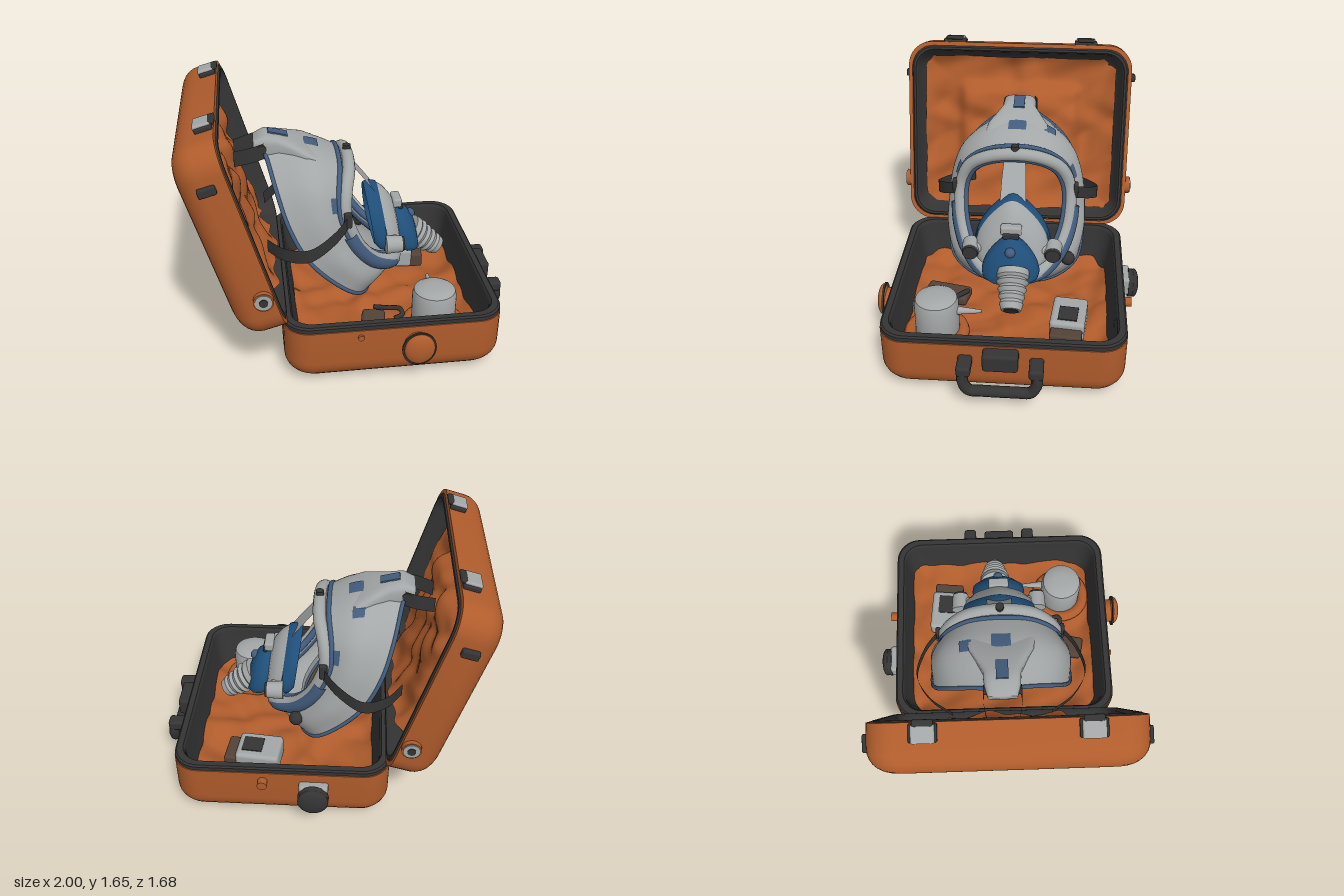
import * as THREE from 'three';
import { toCreasedNormals } from 'three/addons/utils/BufferGeometryUtils.js';
import { RoundedBoxGeometry } from 'three/addons/geometries/RoundedBoxGeometry.js';

const mat = (name, color) => {
  const m = new THREE.MeshStandardMaterial({ color, side: THREE.DoubleSide });
  m.name = name;
  return m;
};
const V = (x, y, z) => new THREE.Vector3(x, y, z);

export function createModel() {
  const orange = mat('orange', 0xb05c2c), dark = mat('charcoal', 0x343434), grey = mat('grey', 0xa4a7a7);
  const blue = mat('blue', 0x1f4f7a), slate = mat('slateBlue', 0x435d7e), brown = mat('brown', 0x544238);
  const model = new THREE.Group();
  model.name = 'maskInCase';

  const add = (parent, name, geo, material, x = 0, y = 0, z = 0) => {
    const m = new THREE.Mesh(geo, material);
    m.name = name;
    m.position.set(x, y, z);
    parent.add(m);
    return m;
  };
  const group = (parent, name) => {
    const g = new THREE.Group();
    g.name = name;
    parent.add(g);
    return g;
  };
  // Skin over equal-length rows of points
  const loft = (rows, closed = true, crease = 0.7) => {
    const n = rows[0].length, pos = [], idx = [];
    rows.forEach(r => r.forEach(p => pos.push(p.x, p.y, p.z)));
    for (let i = 0; i < rows.length - 1; i++)
      for (let j = 0; j < (closed ? n : n - 1); j++) {
        const a = i * n + j, b = i * n + (j + 1) % n;
        idx.push(a, a + n, b, b, a + n, b + n);
      }
    const g = new THREE.BufferGeometry();
    g.setAttribute('position', new THREE.Float32BufferAttribute(pos, 3));
    g.setIndex(idx);
    g.computeVertexNormals();
    return toCreasedNormals(g, crease);
  };
  // Rounded rectangle ring at height y
  const ring = (hx, hz, r, y) => {
    const pts = [];
    for (let c = 0; c < 4; c++)
      for (let j = 0; j <= 8; j++) {
        const a = (c + j / 8) * Math.PI / 2;
        const sx = c === 0 || c === 3 ? 1 : -1, sz = c < 2 ? 1 : -1;
        pts.push(V(sx * (hx - r) + r * Math.cos(a), y, sz * (hz - r) + r * Math.sin(a)));
      }
    return pts;
  };
  const cyl = (r1, r2, h, axis, seg = 28) => {
    const g = new THREE.CylinderGeometry(r1, r2, h, seg);
    if (axis === 'z') g.rotateX(Math.PI / 2);
    if (axis === 'x') g.rotateZ(-Math.PI / 2);
    return g;
  };

  // One half of the case: outer shell, rim, lining and crumpled cloth
  const caseHalf = (parent, hx, hz, y0, y1, edge, rimH, rimIn, floor, bump) => {
    const rad = 0.16;
    const rows = [ring(0, 0, 0, y0)];
    for (let i = 0; i <= 7; i++) {
      const a = i / 7 * Math.PI / 2, d = edge * (1 - Math.sin(a));
      rows.push(ring(hx - d, hz - d, rad - d * 0.5, y0 + edge * (1 - Math.cos(a))));
    }
    const at = (inset, y) => ring(hx - inset, hz - inset, rad - inset * 0.6, y);
    const top = y1 + rimH;
    rows.push(at(0, y1), at(rimIn, y1 + 0.002));
    add(parent, 'shell', loft(rows), orange);
    add(parent, 'rim', loft([at(rimIn, y1 - 0.005), at(rimIn, top - 0.01), at(rimIn + 0.01, top),
      at(0.05, top), at(0.06, top - 0.02)]), dark);
    add(parent, 'lining', loft([at(0.06, top - 0.02), at(0.07, y1 - 0.05), at(0.085, (floor + y1) / 2),
      at(0.11, floor + 0.02), at(0.18, floor - 0.02)]), dark);
    const w = hx - 0.1, d = hz - 0.1;
    const cloth = new THREE.PlaneGeometry(2 * w, 2 * d, 56, 60).rotateX(-Math.PI / 2);
    const p = cloth.attributes.position;
    for (let i = 0; i < p.count; i++) {
      const x = p.getX(i), z = p.getZ(i);
      const e = Math.max(Math.abs(x) / w, Math.abs(z) / d);
      const fold = 0.012 * Math.sin(9 * x + 5 * Math.sin(6 * z)) + 0.010 * Math.sin(13 * z + 4 * Math.sin(8 * x + 1))
        + 0.02 * Math.abs(Math.sin(5 * x - 7 * z + 2 * Math.sin(4 * x)));
      p.setY(i, floor + fold + 0.05 * Math.pow(e, 8) + bump(x, z));
    }
    cloth.computeVertexNormals();
    add(parent, 'cloth', cloth, orange);
  };

  // Base of the case
  const base = group(model, 'base');
  base.position.x = 0.205;
  caseHalf(base, 0.663, 0.735, 0.015, 0.385, 0.15, 0.037, 0.004, 0.12, () => 0);
  for (const x of [-0.455, 0.445])
    for (const z of [-0.51, 0.51]) add(base, 'foot', cyl(0.055, 0.05, 0.025, 'y'), dark, x, 0.0125, z);
  add(base, 'frontScrew', cyl(0.018, 0.018, 0.03, 'z'), orange, -0.215, 0.34, 0.735);
  add(base, 'backScrew', cyl(0.03, 0.03, 0.05, 'z'), orange, 0.105, 0.32, -0.755);

  // Pressure knob at the back, clasp at the front
  add(base, 'knobNeck', new RoundedBoxGeometry(0.18, 0.13, 0.07, 3, 0.02), grey, -0.205, 0.26, -0.75);
  add(base, 'knobDisc', cyl(0.096, 0.09, 0.045, 'z'), dark, -0.205, 0.24, -0.8);
  add(base, 'knob', new THREE.SphereGeometry(0.094, 28, 16).scale(1, 1, 0.35), dark, -0.205, 0.24, -0.815);
  add(base, 'claspNeck', cyl(0.08, 0.08, 0.07, 'z'), orange, 0.125, 0.265, 0.755);
  add(base, 'claspPlate', cyl(0.103, 0.103, 0.012, 'z').scale(1, 1.12, 1), dark, 0.125, 0.265, 0.79);
  add(base, 'clasp', new THREE.SphereGeometry(0.092, 28, 16).scale(1, 1.12, 0.38), orange, 0.125, 0.27, 0.802);

  // Carrying handle and latch
  const handle = group(model, 'handle');
  add(handle, 'latch', new RoundedBoxGeometry(0.09, 0.12, 0.21, 3, 0.02), dark, 0.9, 0.315, 0);
  const grip = new THREE.CatmullRomCurve3([V(0.955, 0.29, 0.21), V(0.965, 0.2, 0.215), V(0.967, 0.14, 0.18),
    V(0.967, 0.135, 0.09), V(0.967, 0.135, -0.09), V(0.967, 0.14, -0.18), V(0.965, 0.2, -0.215), V(0.955, 0.29, -0.21)]);
  add(handle, 'grip', new THREE.TubeGeometry(grip, 48, 0.034, 10), dark);
  for (const s of [-1, 1])
    add(handle, 'mount', new RoundedBoxGeometry(0.14, 0.07, 0.085, 3, 0.02), dark, 0.92, 0.28, s * 0.21);

  // Tilted lid
  const lid = group(model, 'lid');
  lid.position.set(-0.597, 1.015, 0);
  lid.rotation.z = -1.293;
  const step = (v, k) => 1 / (1 + Math.exp(-v * k));
  caseHalf(lid, 0.62, 0.755, -0.278, -0.005, 0.14, 0.01, 0.025, -0.17,
    (x, z) => 0.09 * step(x + 0.32, 60) * step(0.4 - Math.abs(z), 60));
  for (const s of [-1, 1]) {
    add(lid, 'latchBase', new RoundedBoxGeometry(0.03, 0.1, 0.15, 2, 0.01), dark, -0.63, -0.06, s * 0.44);
    add(lid, 'latchPlate', new RoundedBoxGeometry(0.035, 0.1, 0.125, 3, 0.012), grey, -0.643, -0.065, s * 0.44);
    add(lid, 'latchHook', new RoundedBoxGeometry(0.025, 0.04, 0.11, 2, 0.01), dark, -0.65, -0.01, s * 0.44);
    add(lid, 'hingeBoss', cyl(0.058, 0.058, 0.04, 'z'), orange, 0.341, -0.065, s * 0.763);
    add(lid, 'hingeRing', cyl(0.05, 0.05, 0.008, 'z'), grey, 0.341, -0.065, s * 0.785);
    add(lid, 'hingePin', cyl(0.025, 0.025, 0.012, 'z'), dark, 0.341, -0.065, s * 0.788);
    add(lid, 'sideTab', new RoundedBoxGeometry(0.05, 0.1, 0.04, 2, 0.01), dark, -0.402, -0.118, s * 0.765);
  }
  add(model, 'hinge', cyl(0.02, 0.02, 1.0, 'z', 12), dark, -0.455, 0.4, 0);

  // Face mask: a skin through three loops, front, middle and back
  const mask = group(model, 'mask');
  mask.position.z = -0.02;
  const loop = half => {
    const pts = half.map(p => V(...p));
    for (let i = 7; i > 0; i--) pts.push(V(half[i][0], half[i][1], -half[i][2]));
    return new THREE.CatmullRomCurve3(pts, true);
  };
  const front = loop([[0, 1.18, 0], [-0.01, 1.15, 0.18], [-0.04, 1.07, 0.29], [-0.05, 0.94, 0.345], [0, 0.79, 0.35],
    [0.06, 0.68, 0.33], [0.15, 0.58, 0.28], [0.28, 0.5, 0.17], [0.31, 0.47, 0]]);
  const middle = loop([[-0.25, 1.28, 0], [-0.24, 1.24, 0.2], [-0.23, 1.12, 0.35], [-0.2, 0.95, 0.42], [-0.13, 0.77, 0.44],
    [-0.04, 0.63, 0.44], [0.08, 0.5, 0.38], [0.2, 0.42, 0.22], [0.23, 0.4, 0]]);
  const back = loop([[-0.52, 1.28, 0], [-0.49, 1.22, 0.14], [-0.45, 1.09, 0.3], [-0.39, 0.9, 0.4], [-0.29, 0.7, 0.44],
    [-0.15, 0.54, 0.44], [0, 0.41, 0.4], [0.1, 0.33, 0.24], [0.12, 0.31, 0]]);
  const skin = (u, v) => {
    const t = ((u % 1) + 1) % 1;
    return new THREE.CatmullRomCurve3([front.getPoint(t), middle.getPoint(t), back.getPoint(t)]).getPoint(v);
  };
  const core = V(-0.1, 0.82, 0);
  const patch = (u0, u1, v0, v1, grow) => {
    const rows = [];
    for (let i = 0; i <= 6; i++) {
      const row = [];
      for (let j = 0; j <= 6; j++)
        row.push(skin(u0 + (u1 - u0) * j / 6, v0 + (v1 - v0) * i / 6).sub(core).multiplyScalar(grow).add(core));
      rows.push(row);
    }
    return loft(rows, false, 1.2);
  };
  const body = [];
  for (let i = 0; i <= 12; i++) body.push(Array.from({ length: 80 }, (_, j) => skin(j / 80, i / 12)));
  add(mask, 'hood', loft(body, true, 1.2), grey);
  const lip = body[12].map(p => p.clone().lerp(V(-0.15, 0.8, 0), 0.12).add(V(0.04, 0.02, 0)));
  add(mask, 'faceSeal', loft([body[12], lip]), grey);
  add(mask, 'backEdge', new THREE.TubeGeometry(back, 90, 0.013, 8, true), slate);

  // Visor frame with a thin inner gasket and a slate band, heavier round the jaw
  add(mask, 'visorFrame', new THREE.TubeGeometry(front, 100, 0.04, 12, true), grey);
  const along = (v, u0, u1, n) => Array.from({ length: n + 1 }, (_, i) => skin(u0 + (u1 - u0) * i / n, v));
  const gasket = along(0, 0, 31 / 32, 31).map(p => p.lerp(V(0.04, 0.84, 0), 0.09));
  add(mask, 'gasket', new THREE.TubeGeometry(new THREE.CatmullRomCurve3(gasket, true), 100, 0.022, 8, true), slate);
  add(mask, 'frameLine', new THREE.TubeGeometry(new THREE.CatmullRomCurve3(along(0.12, 0, 31 / 32, 31), true), 100, 0.016, 8, true), slate);
  add(mask, 'jawBand', new THREE.TubeGeometry(new THREE.CatmullRomCurve3(along(0.07, 0.24, 0.76, 30)), 80, 0.047, 12), slate);
  add(mask, 'frameBolt', cyl(0.025, 0.025, 0.07, 'y', 14), dark, 0, 1.205, 0);
  add(mask, 'topPatch', patch(-0.017, 0.017, 0.36, 0.58, 1.012), slate);
  add(mask, 'cornerPatch', patch(-0.078, -0.052, 0.42, 0.57, 1.012), slate);
  for (const s of [-1, 1]) add(mask, 'sidePatch', patch(s * 0.145, s * 0.18, 0.1, 0.26, 1.012), slate);

  // Domed crown tab blending into the hood: x, top, bottom, half width
  const crown = [[-0.575, 1.3, 1.3, 0], [-0.57, 1.325, 1.25, 0.085], [-0.5, 1.358, 1.19, 0.105], [-0.42, 1.345, 1.18, 0.11],
    [-0.34, 1.318, 1.18, 0.15], [-0.27, 1.29, 1.18, 0.19], [-0.2, 1.25, 1.18, 0.2]];
  add(mask, 'crownTab', loft(crown.map(([x, top, low, hz]) => Array.from({ length: 28 }, (_, i) => {
    const a = i / 28 * Math.PI * 2, c = Math.cos(a), s = Math.sin(a);
    return V(x, low + (top - low) * (0.5 + 0.5 * Math.sign(s) * Math.sqrt(Math.abs(s))), hz * Math.sign(c) * Math.sqrt(Math.abs(c)));
  })), true, 1), grey);
  add(mask, 'crownPatch', new THREE.BoxGeometry(0.12, 0.009, 0.07), slate, -0.42, 1.347, 0).rotation.z = -0.25;
  for (const s of [-1, 1]) add(mask, 'crownBuckle', cyl(0.028, 0.028, 0.02, 'z', 16), dark, -0.52, 1.28, s * 0.1);

  // Head straps
  const ribbon = (pts, h) => {
    const line = new THREE.CatmullRomCurve3(pts).getPoints(40);
    return loft([-h / 2, h / 2].map(o => line.map(p => p.clone().add(V(0, o, 0)))), false);
  };
  for (const s of [-1, 1]) {
    add(mask, 'cheekStrap', ribbon([V(-0.03, 0.91, s * 0.38), V(-0.13, 0.85, s * 0.475), V(-0.28, 0.78, s * 0.53),
      V(-0.42, 0.75, s * 0.45), V(-0.52, 0.74, s * 0.31)], 0.085), dark);
    add(mask, 'crownStrap', ribbon([V(-0.5, 1.27, s * 0.1), V(-0.58, 1.25, s * 0.11), V(-0.69, 1.22, s * 0.09)], 0.1), dark);
    add(mask, 'strapBuckle', new RoundedBoxGeometry(0.05, 0.1, 0.03, 2, 0.01), dark, -0.04, 0.92, s * 0.385);
  }

  // Centre strip across the visor opening
  add(mask, 'visorStrip', loft([[V(0, 1.16, 0.065), V(0, 1.16, -0.065)], [V(0.08, 1.06, 0.075), V(0.08, 1.06, -0.075)],
    [V(0.17, 0.94, 0.08), V(0.17, 0.94, -0.08)]], false), grey);

  // Nose cup from rounded triangular sections: x, centre y, half width, half height
  const tri = new THREE.CatmullRomCurve3([V(0, 1, 0), V(0, 0.55, 0.5), V(0, -0.2, 0.85), V(0, -0.85, 0.85), V(0, -1, 0),
    V(0, -0.85, -0.85), V(0, -0.2, -0.85), V(0, 0.55, -0.5)], true).getPoints(40).slice(0, 40);
  const cup = list => loft(list.map(([x, y, hz, hy]) => tri.map(p =>
    V(x + p.y * hy * -0.15, y + p.y * hy, p.z * hz))), true, 0.9);
  add(mask, 'innerMask', cup([[0.13, 0.79, 0.24, 0.18], [0.16, 0.78, 0.265, 0.205], [0.215, 0.77, 0.262, 0.205], [0.23, 0.765, 0.23, 0.18]]), blue);
  add(mask, 'cupArch', cup([[0.215, 0.767, 0.256, 0.2], [0.26, 0.745, 0.245, 0.19], [0.31, 0.71, 0.195, 0.155], [0.345, 0.69, 0, 0]]), grey);
  add(mask, 'noseCup', cup([[0.315, 0.665, 0.17, 0.13], [0.355, 0.665, 0.195, 0.145], [0.405, 0.65, 0.185, 0.13],
    [0.445, 0.62, 0.13, 0.1], [0.465, 0.61, 0, 0]]), blue);
  add(mask, 'noseStud', new THREE.SphereGeometry(0.032, 16, 12), slate, 0.415, 0.73, 0);
  add(mask, 'noseLug', new RoundedBoxGeometry(0.06, 0.06, 0.13, 2, 0.015), grey, 0.32, 0.835, 0);
  add(mask, 'noseLugFront', new RoundedBoxGeometry(0.03, 0.04, 0.1, 2, 0.01), dark, 0.345, 0.805, 0);
  for (const s of [-1, 1]) {
    add(mask, 'valveArm', cyl(0.035, 0.035, 0.14, 'z', 16), grey, 0.265, 0.66, s * 0.19);
    add(mask, 'valve', cyl(0.052, 0.058, 0.1, 'x'), grey, 0.265, 0.655, s * 0.255);
    add(mask, 'valveCap', cyl(0.045, 0.052, 0.02, 'x'), dark, 0.32, 0.655, s * 0.255);
  }
  add(mask, 'cheekKnob', new THREE.SphereGeometry(0.045, 16, 12), dark, 0.13, 0.51, -0.35);

  // Corrugated hose
  const prof = [[0, 0], [0.1, 0], [0.1, 0.04]];
  for (let i = 0; i < 4; i++) prof.push([0.084 - i * 0.006, 0.055 + i * 0.045], [0.1 - i * 0.009, 0.075 + i * 0.045]);
  prof.push([0.06, 0.25], [0, 0.25]);
  const hose = add(mask, 'hose', toCreasedNormals(new THREE.LatheGeometry(prof.map(p => new THREE.Vector2(...p)), 28), 0.6),
    grey, 0.415, 0.6, -0.02);
  hose.rotation.z = -2.2;
  add(hose, 'hoseEnd', cyl(0.045, 0.045, 0.01, 'y'), dark, 0, 0.25, 0);

  // Loose items in the base
  const jar = [[0, 0], [0.13, 0], [0.138, 0.02], [0.138, 0.28], [0.128, 0.315], [0.1, 0.333], [0.05, 0.34], [0, 0.34]];
  add(model, 'jar', toCreasedNormals(new THREE.LatheGeometry(jar.map(p => new THREE.Vector2(...p)), 36), 0.6), grey, 0.495, 0.115, 0.43);
  add(model, 'jarSpout', cyl(0.028, 0.01, 0.16, 'z', 14), grey, 0.51, 0.35, 0.23);
  add(model, 'jarNest', new THREE.TorusGeometry(0.165, 0.04, 10, 36).rotateX(Math.PI / 2), orange, 0.5, 0.17, 0.435);
  add(model, 'pouch', new RoundedBoxGeometry(0.15, 0.07, 0.3, 3, 0.025), brown, 0.11, 0.17, 0.42).rotation.y = -0.2;
  const cord = new THREE.CatmullRomCurve3([V(0.14, 0.22, 0.28), V(0.22, 0.24, 0.33), V(0.29, 0.25, 0.36), V(0.3, 0.24, 0.41), V(0.25, 0.22, 0.42)]);
  add(model, 'cord', new THREE.TubeGeometry(cord, 24, 0.016, 8), dark);
  const meter = group(model, 'meter');
  meter.position.set(0.37, 0.21, -0.39);
  meter.rotation.y = -0.1;
  add(meter, 'meterBody', new RoundedBoxGeometry(0.28, 0.14, 0.22, 3, 0.025), grey);
  add(meter, 'meterScreen', new THREE.BoxGeometry(0.13, 0.009, 0.12), dark, 0.04, 0.072, 0);
  add(meter, 'meterBlock', new RoundedBoxGeometry(0.09, 0.1, 0.2, 2, 0.015), brown, 0.17, -0.02, 0);
  return model;
}
